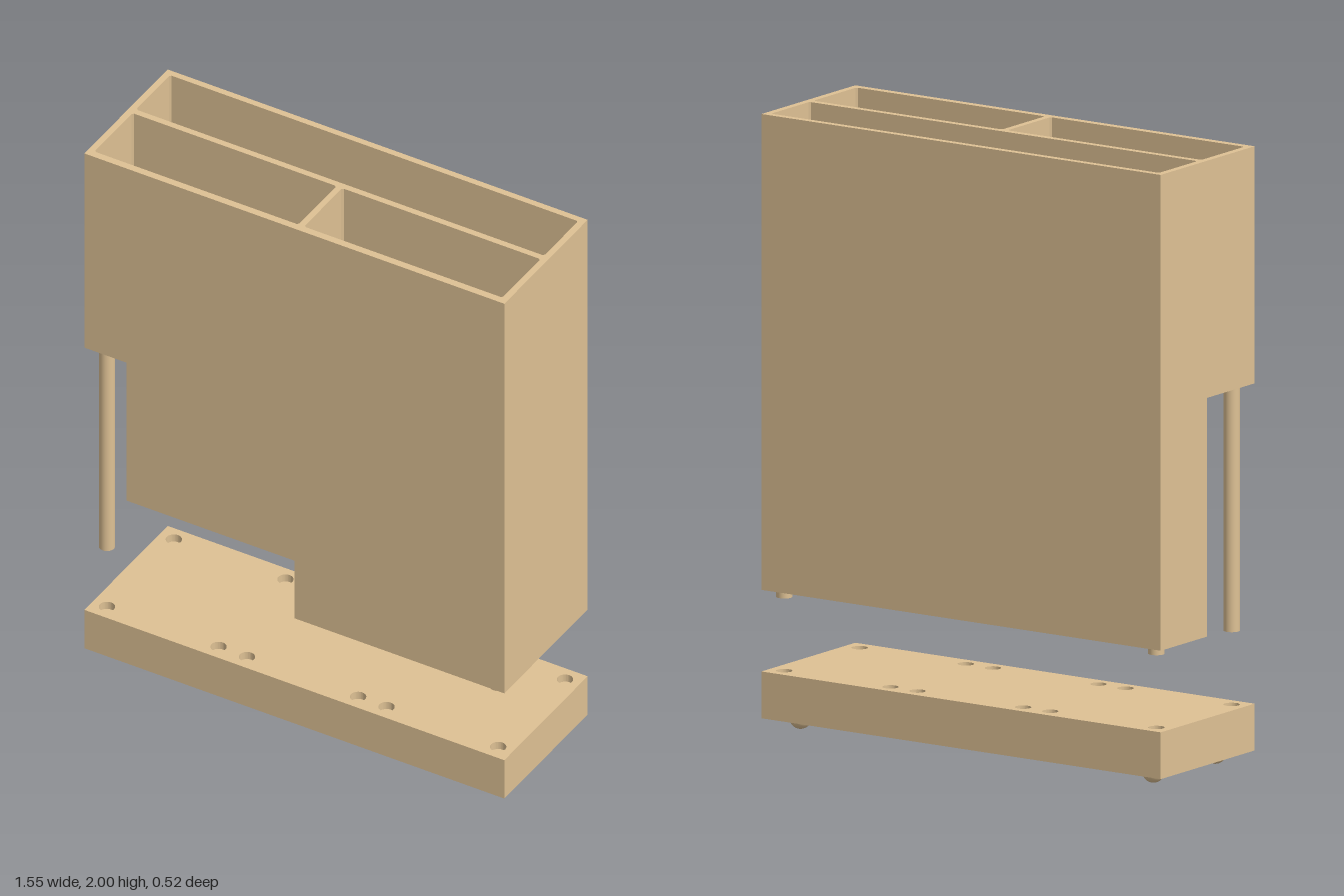
import * as THREE from 'three';

const W = 0.775, D = 0.258;          // half width and half depth
const PEG_X = 0.722, PEG_Z = 0.207, PEG_R = 0.026;
const material = new THREE.MeshStandardMaterial({ color: 0xdec194 });

// Closed outline from [x, z] corners (shape y is -z)
const outline = (pts, Type = THREE.Shape) =>
  new Type(pts.map(([x, z]) => new THREE.Vector2(x, -z)));

const rectPoints = (x0, x1, z0, z1) => [[x0, z1], [x1, z1], [x1, z0], [x0, z0]];

// Compartment opening with slightly eased corners
function pocket(x0, x1, z0, z1, r = 0.006) {
  return outline([
    [x0 + r, z1], [x1 - r, z1], [x1, z1 - r], [x1, z0 + r],
    [x1 - r, z0], [x0 + r, z0], [x0, z0 + r], [x0, z1 - r],
  ], THREE.Path);
}

function roundHole(x, z, r) {
  const p = new THREE.Path();
  p.absarc(x, -z, r, 0, Math.PI * 2, true);
  return p;
}

// Horizontal slice between two heights, with openings cut through it
function slice(name, points, holes, y0, y1) {
  const shape = outline(points);
  shape.holes.push(...holes);
  const g = new THREE.ExtrudeGeometry(shape, { depth: y1 - y0, bevelEnabled: false, curveSegments: 16 });
  g.rotateX(-Math.PI / 2).translate(0, y0, 0);
  const m = new THREE.Mesh(g, material);
  m.name = name;
  return m;
}

function post(name, x, z, y0, y1) {
  const m = new THREE.Mesh(new THREE.CylinderGeometry(PEG_R, PEG_R, y1 - y0, 32), material);
  m.position.set(x, (y0 + y1) / 2, z);
  m.name = name;
  return m;
}

function createBox() {
  const box = new THREE.Group();
  box.name = 'compartmentBox';
  const full = rectPoints(-W, W, -D, D);
  // L-shaped plan below the front recess
  const lower = [[-W, -0.003], [0, -0.003], [0, D], [W, D], [W, -D], [-W, -D]];
  const back = () => pocket(-0.753, 0.753, -0.236, -0.025);
  const frontLeft = () => pocket(0.021, 0.753, -0.003, 0.233);
  const frontRight = () => pocket(-0.753, 0, -0.003, 0.233);
  box.add(
    slice('boxFloor', lower, [], 0.455, 0.477),
    slice('lowerWalls', lower, [back(), frontLeft()], 0.477, 1.23),
    slice('recessCeiling', full, [back(), frontLeft()], 1.23, 1.252),
    slice('upperWalls', full, [back(), frontLeft(), frontRight()], 1.252, 2),
    // Long support post under the overhang, short pegs at the other corners
    post('supportPost', -PEG_X, PEG_Z, 0.43, 1.23),
    post('pegFrontLeft', PEG_X, PEG_Z, 0.43, 0.455),
    post('pegBackLeft', PEG_X, -PEG_Z, 0.43, 0.455),
    post('pegBackRight', -PEG_X, -PEG_Z, 0.43, 0.455),
  );
  return box;
}

function createBase() {
  const base = new THREE.Group();
  base.name = 'rollingBase';
  const plan = rectPoints(-W, W, -D, D);
  const pegHoles = [], ballSockets = [];
  for (const sx of [-1, 1]) for (const sz of [-1, 1]) {
    for (const x of [0.205, 0.31, PEG_X]) pegHoles.push(roundHole(sx * x, sz * PEG_Z, PEG_R));
    ballSockets.push(roundHole(sx * 0.685, sz * 0.17, 0.055));
    // Ball foot resting in its socket
    const ball = new THREE.Mesh(new THREE.SphereGeometry(0.036, 32, 20), material);
    ball.position.set(sx * 0.685, 0.036, sz * 0.17);
    ball.name = 'ballFoot';
    base.add(ball);
  }
  base.add(
    slice('baseBottom', plan, ballSockets, 0.038, 0.072),
    slice('baseCore', plan, [], 0.072, 0.162),
    slice('baseTop', plan, pegHoles, 0.162, 0.19),
  );
  return base;
}

export function createModel() {
  const model = new THREE.Group();
  model.name = 'organizerOnBase';
  model.add(createBox(), createBase());
  return model;
}
